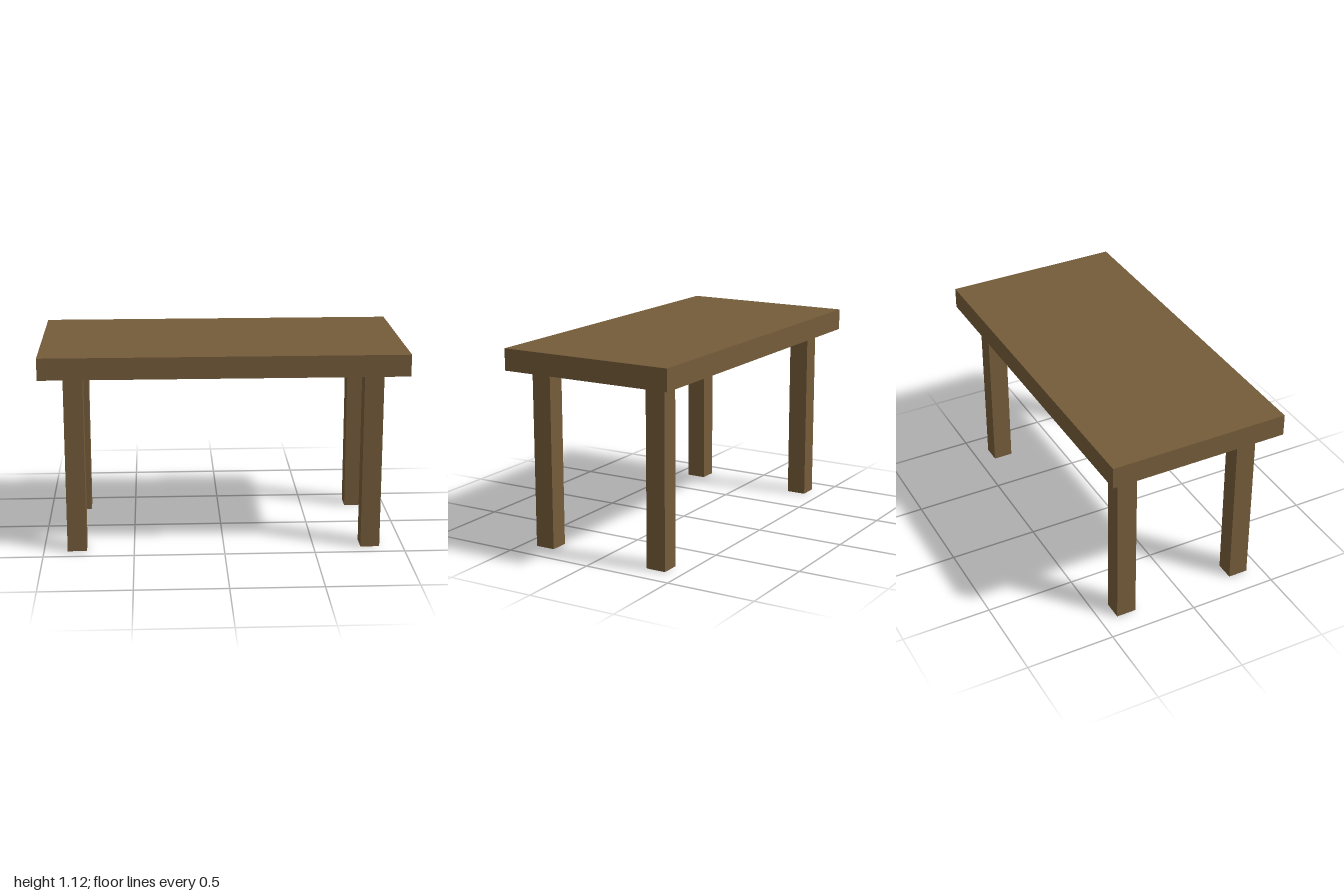
import * as THREE from 'three';

export function createModel() {
  const table = new THREE.Group();
  table.name = 'table';
  const wood = new THREE.MeshStandardMaterial({ color: 0x755c3a });

  // Box placed by its centre in x and z and by its underside in y
  function addBox(name, width, height, depth, x, bottom, z) {
    const mesh = new THREE.Mesh(new THREE.BoxGeometry(width, height, depth), wood);
    mesh.name = name;
    mesh.position.set(x, bottom + height / 2, z);
    table.add(mesh);
  }

  const legHeight = 0.997;

  // Thick slab top
  addBox('tabletop', 2, 0.12, 1, 0, legHeight, 0);

  // Four square legs, the pairs set slightly towards the front
  for (const [end, z] of [['front', 0.363], ['back', -0.348]]) {
    for (const [side, x] of [['Left', 0.816], ['Right', -0.816]]) {
      addBox(`${end}${side}Leg`, 0.106, legHeight, 0.112, x, 0, z);
    }
  }

  return table;
}
